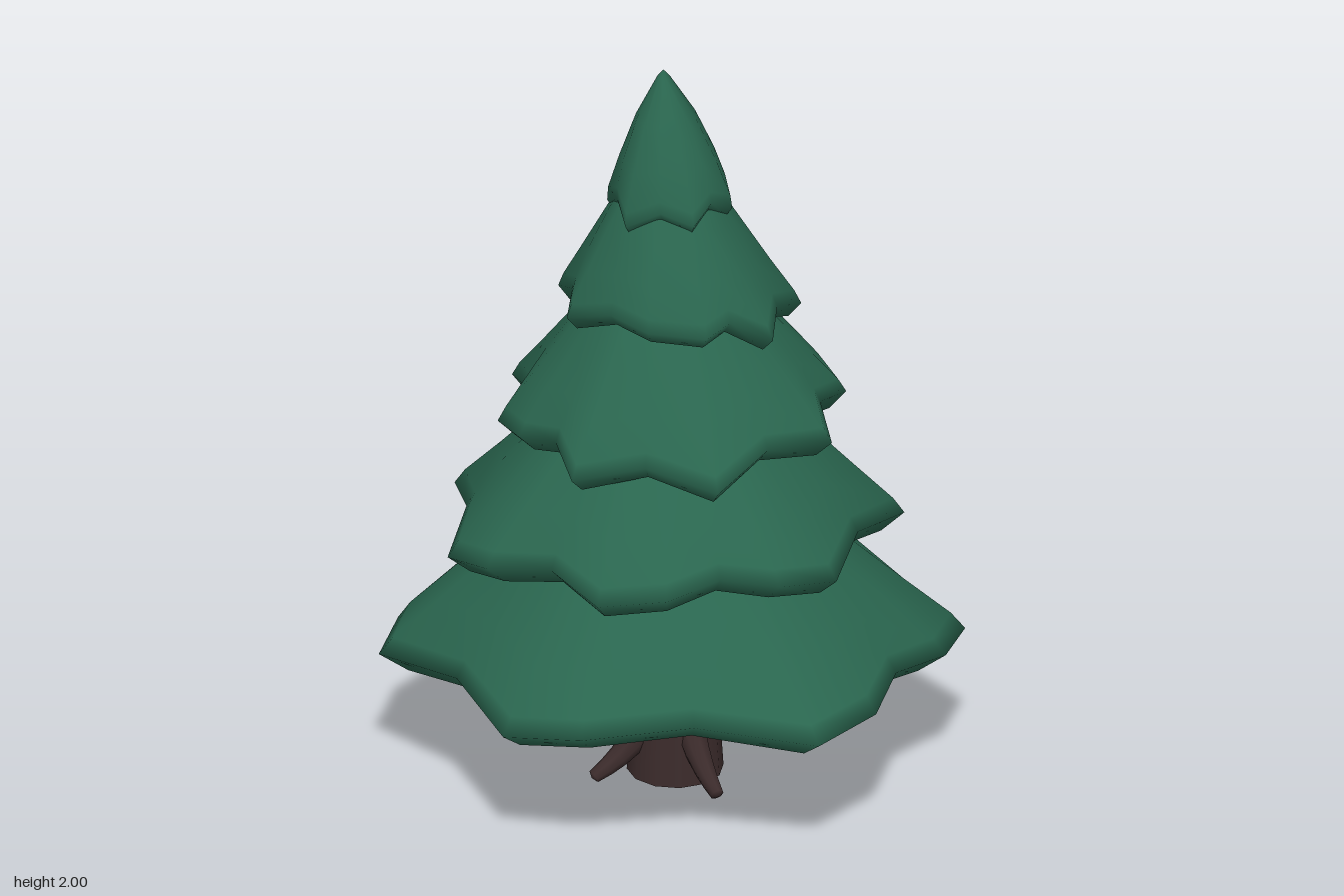
import * as THREE from 'three';

// Joins a stack of closed rings into a smooth skin with a centre point at each end
function loft(rings, start, end) {
  const n = rings[0].length, pos = [], idx = [];
  for (const ring of rings) for (const p of ring) pos.push(p.x, p.y, p.z);
  const first = rings.length * n;
  pos.push(start.x, start.y, start.z, end.x, end.y, end.z);
  for (let j = 0; j < n; j++) {
    const k = (j + 1) % n, last = (rings.length - 1) * n;
    for (let i = 0; i < rings.length - 1; i++) {
      const a = i * n + j, b = i * n + k;
      idx.push(a, b, a + n, b, b + n, a + n);
    }
    idx.push(first, k, j, first + 1, last + j, last + k);
  }
  const g = new THREE.BufferGeometry();
  g.setAttribute('position', new THREE.Float32BufferAttribute(pos, 3));
  g.setIndex(idx);
  g.computeVertexNormals();
  return g;
}

// Rim height, tilt along x and z, lip depth, height factor, and the rim's lobes:
// tip angle in degrees, tip radius, angle from the tip to a blunt shoulder (0 = pointed)
const TIERS = [
  { y: 0.38, tilt: [0, 0.055], lip: 0.05, h: 1, twice: true,
    lobes: [[0, .757, 16], [66, .764, -17], [131, .748, -16]] },
  { y: 0.725, tilt: [-0.01, 0.08], lip: 0.05, h: 0.92,
    lobes: [[0, .6, 0], [50, .592, 16], [114, .607, -17], [164, .62, -14], [212, .624, 0], [261, .612, 0], [311, .607, 0]] },
  { y: 1.055, tilt: [0.045, -0.03], lip: 0.045, h: 0.83, twice: true,
    lobes: [[0, .45, -17], [33, .463, 0], [81, .471, 0], [130, .455, 0]] },
  { y: 1.355, tilt: [0, 0], lip: 0.035, h: 0.8,
    lobes: [[-2, .335, 0], [42, .322, 0], [77, .277, 32], [163, .293, 0], [205, .31, 0], [242, .318, 28], [315, .337, 0]] },
  { y: 1.635, tilt: [0, 0], lip: 0.025, h: 1, tip: true,
    lobes: [[20, .16, 0], [75, .16, 0], [140, .17, 0], [200, .172, 0], [250, .176, 20], [313, .188, 0]] },
];

// Slope rows: scale, height above rim, how far the outline is rounded off
const SKIRT = [[.28, .48, .9], [.56, .31, .6], [.81, .145, .35], [.955, .045, .05], [1, 0, 0]];
const TIP = [[.1, .345, 1], [.5, .235, .8], [.8, .12, .5], [.98, .035, .1], [1, 0, 0]];

// Rim as [angle, radius] points: each lobe, then a notch halfway to the next one
function rimOutline(lobes, twice) {
  const all = twice ? [...lobes, ...lobes.map(([a, r, s]) => [a + 180, r, s])] : lobes;
  const points = [];
  all.forEach(([a, r, s], i) => {
    const wrap = i === all.length - 1 ? 360 : 0;
    const [na, nr, ns] = all[(i + 1) % all.length];
    const lobe = s ? [[a, r], [a + s, r * 0.945]] : [[a, r]];
    const notch = (a + Math.max(0, s) + na + Math.min(0, ns) + wrap) / 2;
    points.push(...lobe.sort((p, q) => p[0] - q[0]), [notch, (r + nr) * 0.425]);
  });
  return points.map(([a, r]) => [THREE.MathUtils.degToRad(a), r]);
}

function tierGeometry({ y, tilt, lip, h, tip, lobes, twice }) {
  const rim = rimOutline(lobes, twice);
  const mean = rim.reduce((sum, p) => sum + p[1], 0) / rim.length;
  const rows = [...(tip ? TIP : SKIRT), [.9, -lip / h, 0], [.6, 0.01, .6]];
  const rings = rows.map(([s, dy, round]) => rim.map(([a, r]) => {
    const rad = s * THREE.MathUtils.lerp(r, mean, round);
    const x = Math.cos(a) * rad, z = Math.sin(a) * rad;
    // Tips droop and notches lift
    const wave = -0.25 * (r / mean - 1) * (1 - round);
    const lean = Math.max(0, dy) * (tip ? 1 : 0.3);
    return new THREE.Vector3(x - 0.055 * lean, y + dy * h + wave + tilt[0] * x + tilt[1] * z, z - 0.08 * lean);
  }));
  const top = tip ? new THREE.Vector3(-0.02, 2, -0.025) : new THREE.Vector3(0, y + 0.5 * h, 0);
  return loft(rings, top, new THREE.Vector3(0, y + 0.03, 0));
}

// Tapered root following a short curve outwards and down
function rootGeometry() {
  const path = new THREE.CatmullRomCurve3([
    new THREE.Vector3(0.06, 0.19, 0), new THREE.Vector3(0.115, 0.11, 0),
    new THREE.Vector3(0.175, 0.058, 0), new THREE.Vector3(0.235, 0.025, 0)]);
  const side = new THREE.Vector3(0, 0, 1), rings = [];
  for (let i = 0; i <= 5; i++) {
    const p = path.getPoint(i / 5), d = path.getTangent(i / 5);
    const v = d.clone().cross(side), r = THREE.MathUtils.lerp(0.045, 0.018, i / 5);
    rings.push(Array.from({ length: 8 }, (_, j) => {
      const a = j / 8 * Math.PI * 2;
      return p.clone().addScaledVector(side, Math.cos(a) * r).addScaledVector(v, Math.sin(a) * r);
    }));
  }
  return loft(rings, path.getPoint(0), path.getPoint(1).add(new THREE.Vector3(0.006, -0.003, 0)));
}

export function createModel() {
  const needles = new THREE.MeshStandardMaterial({ name: 'needle green', color: 0x2a664f });
  const bark = new THREE.MeshStandardMaterial({ name: 'bark brown', color: 0x3b2b2b });
  const model = new THREE.Group();
  model.name = 'pineTree';
  const add = (geometry, material, name) => {
    const mesh = new THREE.Mesh(geometry, material);
    mesh.name = name;
    model.add(mesh);
    return mesh;
  };

  // Foliage, lowest tier first
  TIERS.forEach((tier, i) => add(tierGeometry(tier), needles, `foliageTier${i + 1}`));

  // Trunk
  add(new THREE.CylinderGeometry(0.095, 0.125, 0.46, 12), bark, 'trunk').position.set(0.008, 0.23, 0);

  // Four roots
  const root = rootGeometry();
  for (let i = 0; i < 4; i++) {
    const mesh = add(root, bark, `root${i + 1}`);
    mesh.position.x = 0.008;
    mesh.rotation.y = 0.38 + i * Math.PI / 2;
  }

  return model;
}
